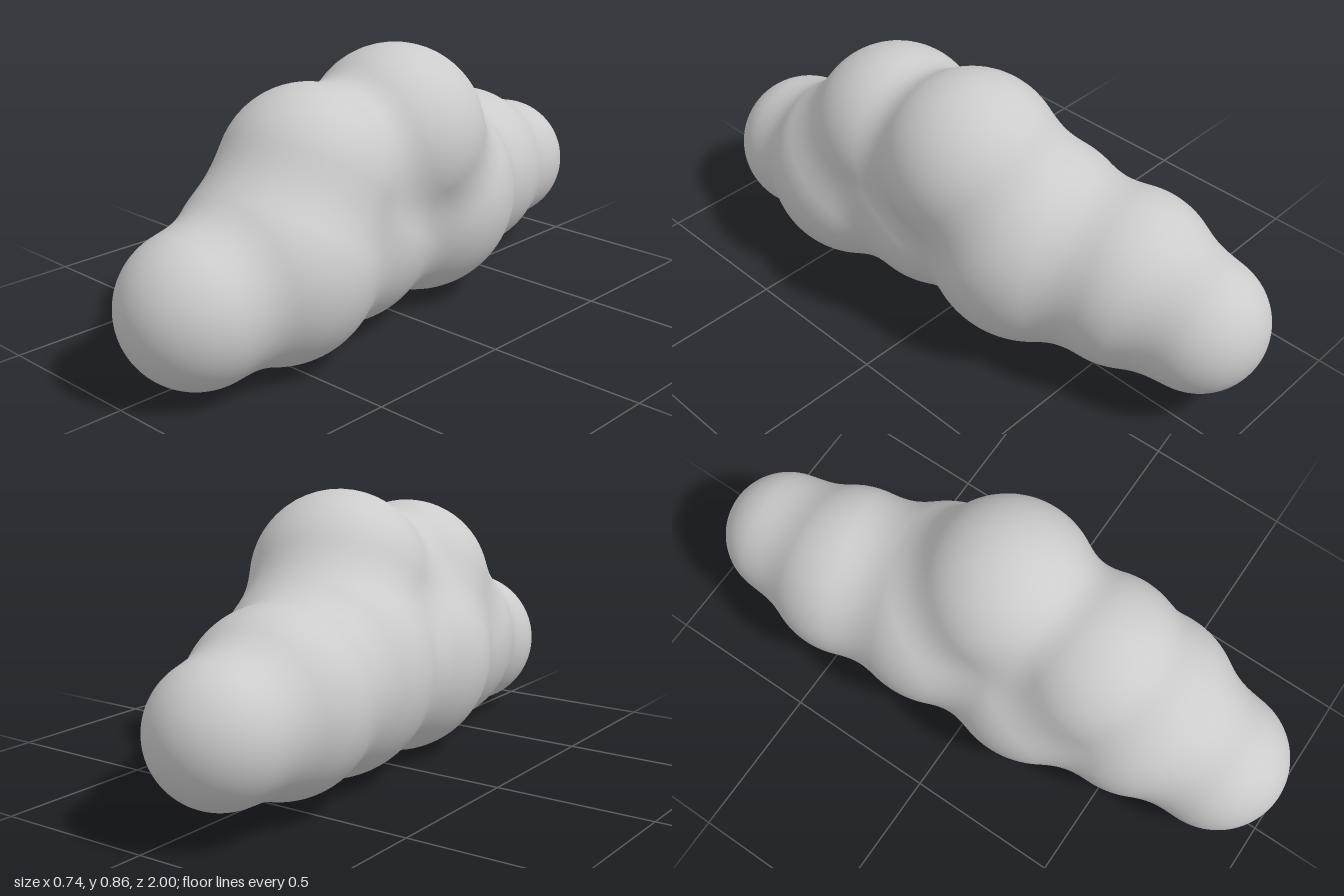
import * as THREE from 'three';

// Lobes of the body: x, y, z, radius
const lobes = [
  [0.06, 0.25, 0.77, 0.23],
  [0.065, 0.307, 0.48, 0.305],
  [0.04, 0.525, 0.32, 0.272],
  [-0.02, 0.315, 0.16, 0.31],
  [0.06, 0.583, -0.03, 0.28],
  [-0.02, 0.34, -0.21, 0.33],
  [-0.093, 0.325, -0.53, 0.28],
  [-0.105, 0.3, -0.79, 0.21],
];
const BLEND = 0.08;

// Distance to the lobes, melted softly into each other
function distance(x, y, z) {
  let d = Infinity;
  for (const [cx, cy, cz, r] of lobes) {
    const e = Math.hypot(x - cx, y - cy, z - cz) - r;
    const h = Math.max(BLEND - Math.abs(d - e), 0);
    d = Math.min(d, e) - (h * h) / (4 * BLEND);
  }
  return d;
}

// Centre line through the lower lobes
const spine = [7, 6, 5, 3, 1, 0].map((i) => lobes[i]);
function spineAt(z) {
  let i = 0;
  while (i < spine.length - 2 && z > spine[i + 1][2]) i++;
  const a = spine[i], b = spine[i + 1];
  const t = THREE.MathUtils.clamp((z - a[2]) / (b[2] - a[2]), 0, 1);
  return [a[0] + (b[0] - a[0]) * t, a[1] + (b[1] - a[1]) * t];
}

// Radius of the surface from the centre line in one direction
function radiusAt(cx, cy, z, dx, dy) {
  const f = (r) => distance(cx + dx * r, cy + dy * r, z);
  let out = 0.8;
  while (out > 0 && f(out) > 0) out -= 0.02;
  let lo = Math.max(out, 0), hi = lo + 0.02;
  if (f(lo) > 0) return 0;
  for (let k = 0; k < 14; k++) {
    const mid = (lo + hi) / 2;
    if (f(mid) > 0) hi = mid; else lo = mid;
  }
  return lo;
}

export function createModel() {
  const group = new THREE.Group();
  group.name = 'lumpyModel';

  // A sheet wrapped around the centre line, rings closer together at the ends
  const geo = new THREE.PlaneGeometry(1, 1, 112, 240);
  const pos = geo.attributes.position, nor = geo.attributes.normal;
  const n = new THREE.Vector3(), e = 0.002;
  for (let i = 0; i < pos.count; i++) {
    const a = pos.getX(i) * Math.PI * 2;
    const z = Math.sin(pos.getY(i) * Math.PI);
    const [cx, cy] = spineAt(z);
    const dx = Math.cos(a), dy = Math.sin(a);
    const r = radiusAt(cx, cy, z, dx, dy);
    const x = cx + dx * r, y = cy + dy * r;
    pos.setXYZ(i, x, y, z);
    // Smooth normals from the slope of the distance
    n.set(
      distance(x + e, y, z) - distance(x - e, y, z),
      distance(x, y + e, z) - distance(x, y - e, z),
      distance(x, y, z + e) - distance(x, y, z - e),
    ).normalize();
    nor.setXYZ(i, n.x, n.y, n.z);
  }

  const body = new THREE.Mesh(geo, new THREE.MeshStandardMaterial({ color: 0xcccccc }));
  body.name = 'blendedBody';
  group.add(body);
  return group;
}
